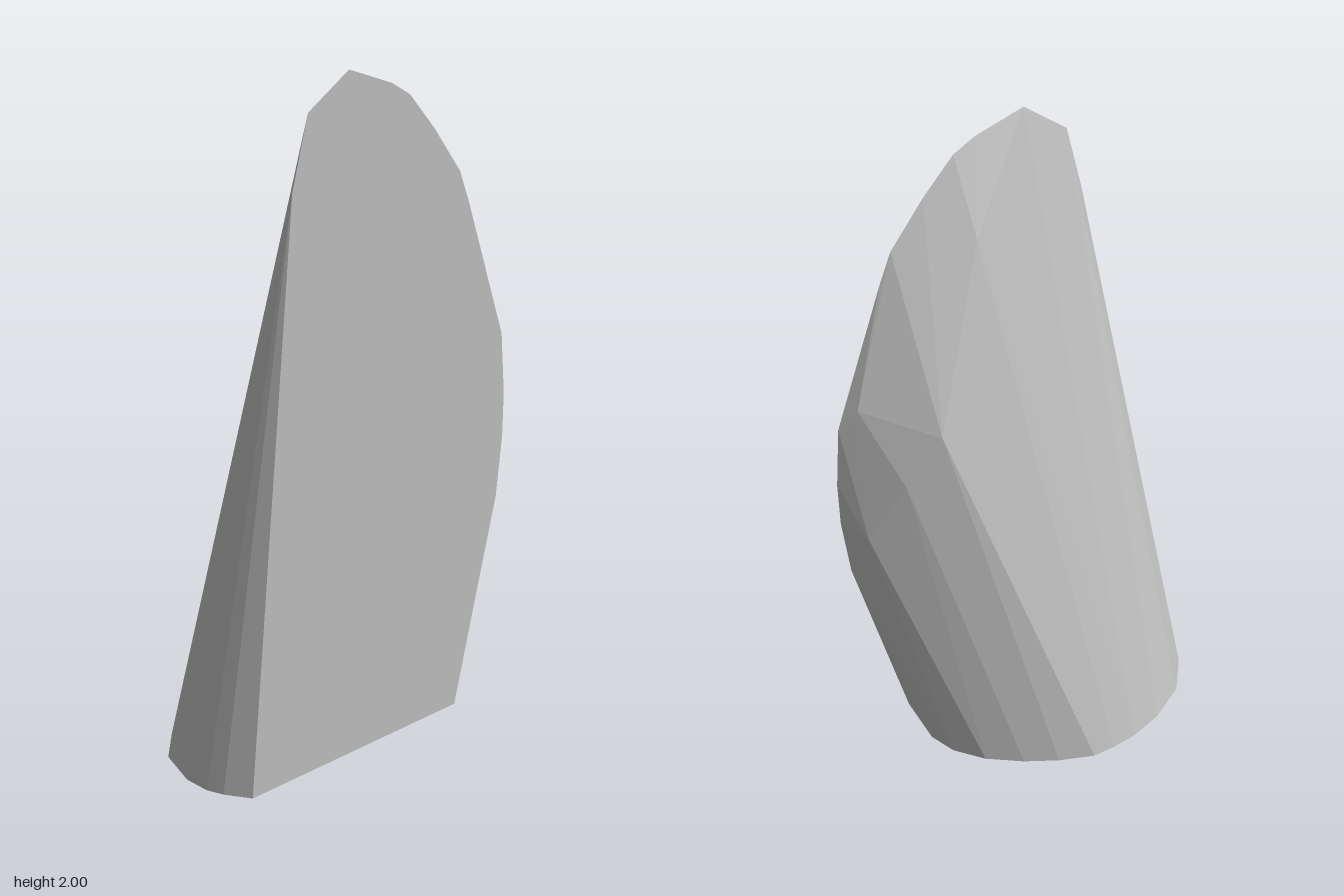
import * as THREE from 'three';
import { ConvexGeometry } from 'three/addons/geometries/ConvexGeometry.js';

export function createModel() {
  const group = new THREE.Group();
  group.name = 'slantedBlock';
  const grey = new THREE.MeshStandardMaterial({ color: 0xc0c0c0 });
  grey.name = 'grey';

  // Outline of the flat upright front face (x, y)
  const frontZ = 0.272;
  const front = [
    [-0.478, 0], [-0.32, 1.7], [-0.265, 1.9], [-0.12, 2], [0.04, 1.955], [0.11, 1.92],
    [0.21, 1.82], [0.32, 1.69], [0.36, 1.6], [0.525, 1.18], [0.545, 0.99],
    [0.545, 0.85], [0.525, 0.66], [0.36, 0],
  ];
  // Rounded outline of the base (x, z)
  const base = [
    [-0.525, 0.2], [-0.545, 0.15], [-0.55, 0.065], [-0.51, -0.075], [-0.415, -0.18],
    [-0.285, -0.243], [-0.17, -0.27], [-0.085, -0.273], [-0.01, -0.268], [0.095, -0.22],
    [0.19, -0.16], [0.285, -0.08], [0.35, 0.01], [0.376, 0.1],
  ];
  // Corners of the faceted shoulder (x, y, z)
  const shoulder = [
    [0.1, 1.7, 0.178], [0.245, 1.6, 0.195], [0.31, 1.19, 0.055], [0.41, 1.03, 0.1],
    [0.48, 1.25, 0.23], [0.505, 0.83, 0.175], [0.395, 0.07, 0.19],
  ];

  const points = [
    ...front.map(([x, y]) => new THREE.Vector3(x, y, frontZ)),
    ...base.map(([x, z]) => new THREE.Vector3(x, 0, z)),
    ...shoulder.map((p) => new THREE.Vector3(...p)),
  ];
  const body = new THREE.Mesh(new ConvexGeometry(points), grey);
  body.name = 'body';
  group.add(body);
  return group;
}
